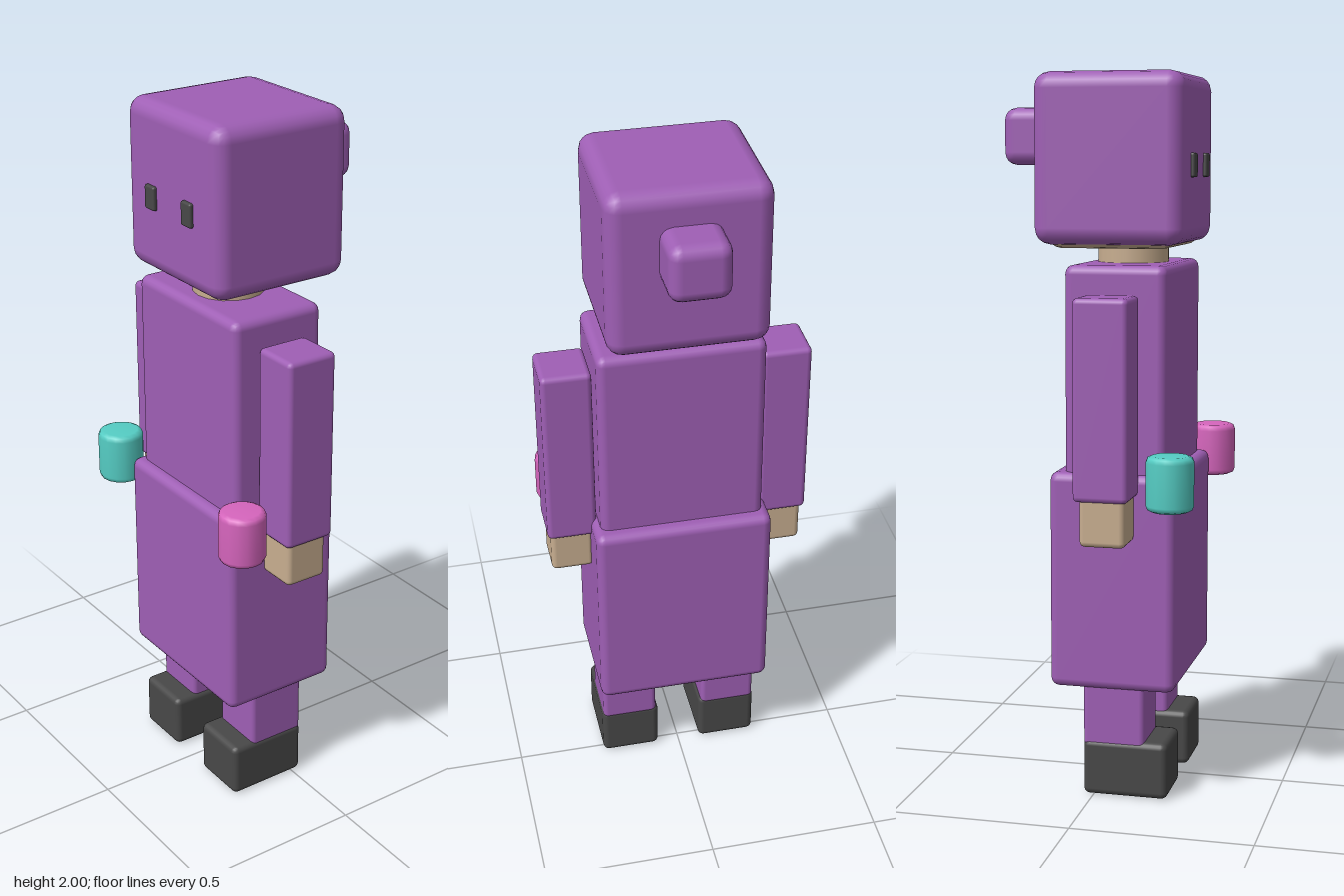
import * as THREE from 'three';
import { RoundedBoxGeometry } from 'three/addons/geometries/RoundedBoxGeometry.js';

const material = (name, color) => {
  const m = new THREE.MeshStandardMaterial({ color });
  m.name = name;
  return m;
};

export function createModel() {
  const purple = material('purple', 0x9f5fb5);
  const skin = material('skin', 0xc8ae90);
  const charcoal = material('charcoal', 0x484848);
  const teal = material('teal', 0x55cdc4);
  const pink = material('pink', 0xd665bd);

  const model = new THREE.Group();
  model.name = 'figure';

  const add = (name, geometry, mat, x, y, z) => {
    const mesh = new THREE.Mesh(geometry, mat);
    mesh.name = name;
    mesh.position.set(x, y, z);
    model.add(mesh);
  };

  // Rounded block given by its extents on each axis
  const block = (name, mat, [x0, x1], [y0, y1], [z0, z1], radius) =>
    add(name, new RoundedBoxGeometry(x1 - x0, y1 - y0, z1 - z0, 2, radius), mat,
      (x0 + x1) / 2, (y0 + y1) / 2, (z0 + z1) / 2);

  // Head: outer hood, skin showing at its underside, bun and neck
  block('hood', purple, [-0.22, 0.22], [1.535, 2], [-0.178, 0.242], 0.045);
  block('innerHead', skin, [-0.19, 0.19], [1.525, 1.9], [-0.145, 0.21], 0.035);
  block('bun', purple, [-0.083, 0.083], [1.75, 1.908], [-0.3, -0.1], 0.035);
  add('neck', new THREE.CylinderGeometry(0.1, 0.1, 0.12, 16), skin, 0, 1.5, 0.058);

  // Body
  block('torso', purple, [-0.235, 0.235], [0.86, 1.483], [-0.083, 0.202], 0.025);
  block('skirt', purple, [-0.255, 0.255], [0.31, 0.917], [-0.122, 0.232], 0.025);

  // Small cylinder with softened rims, held before each hand
  const cupProfile = [[0, -0.075], [0.05, -0.075], [0.061, -0.07], [0.066, -0.058],
    [0.066, 0.058], [0.061, 0.07], [0.05, 0.075], [0, 0.075]]
    .map(([r, y]) => new THREE.Vector2(r, y));
  const cup = new THREE.LatheGeometry(cupProfile, 16);

  // Paired parts
  for (const [side, s] of [['left', 1], ['right', -1]]) {
    const span = (a, b) => (s > 0 ? [a, b] : [-b, -a]);
    block(side + 'Eye', charcoal, span(0.064, 0.109), [1.717, 1.783], [0.232, 0.253], 0.006);
    block(side + 'Arm', purple, span(0.238, 0.38), [0.86, 1.405], [-0.022, 0.13], 0.015);
    block(side + 'Hand', skin, span(0.248, 0.37), [0.737, 0.88], [-0.006, 0.12], 0.015);
    block(side + 'Leg', purple, span(0.072, 0.237), [0.14, 0.4], [-0.03, 0.145], 0.015);
    block(side + 'Shoe', charcoal, span(0.065, 0.24), [0, 0.16], [-0.03, 0.21], 0.018);
    add(side + 'Cylinder', cup, s > 0 ? pink : teal, s * 0.31, 0.911, 0.231);
  }

  return model;
}
